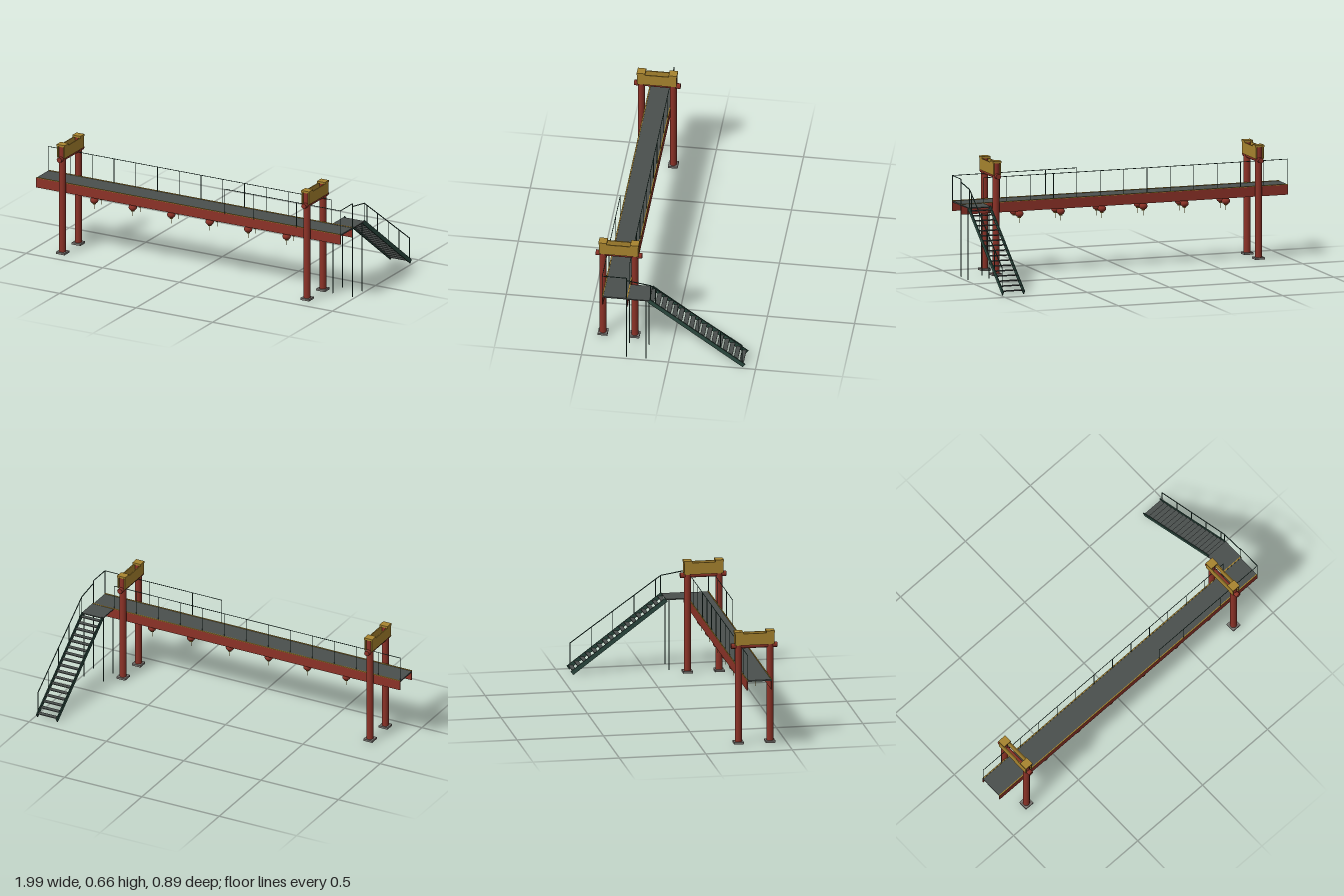
import * as THREE from 'three';

const material = (color) => new THREE.MeshStandardMaterial({ color });
const red = material(0x8c3227);
const gold = material(0xa8842f);
const steel = material(0x4a4f4d);
const green = material(0x2c4a40);
const stone = material(0x77736f);

function add(parent, name, geometry, mat, x = 0, y = 0, z = 0) {
  const mesh = new THREE.Mesh(geometry, mat);
  mesh.name = name;
  mesh.position.set(x, y, z);
  parent.add(mesh);
  return mesh;
}

// Box given by its lower and upper limits on each axis
function block(parent, name, mat, x0, x1, y0, y1, z0, z1) {
  const box = new THREE.BoxGeometry(x1 - x0, y1 - y0, z1 - z0);
  return add(parent, name, box, mat, (x0 + x1) / 2, (y0 + y1) / 2, (z0 + z1) / 2);
}

// Round bar between two points
function rod(parent, name, mat, from, to, radius = 0.0025) {
  const a = new THREE.Vector3(...from);
  const b = new THREE.Vector3(...to);
  const dir = b.clone().sub(a);
  const mesh = add(parent, name, new THREE.CylinderGeometry(radius, radius, dir.length(), 8), mat);
  mesh.position.copy(a).add(b).multiplyScalar(0.5);
  mesh.quaternion.setFromUnitVectors(new THREE.Vector3(0, 1, 0), dir.normalize());
  return mesh;
}

function group(parent, name) {
  const g = new THREE.Group();
  g.name = name;
  parent.add(g);
  return g;
}

// Gateway frame: two columns, a round crossbeam and a gold board on each face
function buildGate(parent, x) {
  const gate = group(parent, 'gate');
  for (const z of [0.405, 0.222]) {
    add(gate, 'column', new THREE.CylinderGeometry(0.02, 0.02, 0.64, 24), red, x, 0.34, z);
    block(gate, 'columnBase', stone, x - 0.028, x + 0.028, 0.012, 0.024, z - 0.028, z + 0.028);
    block(gate, 'columnCap', gold, x - 0.026, x + 0.026, 0.66, 0.672, z - 0.024, z + 0.024);
  }
  rod(gate, 'crossbeam', red, [x, 0.585, 0.18], [x, 0.585, 0.446], 0.016);
  for (const side of [-1, 1]) {
    const px = x + side * 0.021;
    block(gate, 'signBoard', gold, px - 0.003, px + 0.003, 0.592, 0.66, 0.2, 0.426);
  }
}

// Lantern: round body, gold collars, cord and tassel
function buildLantern(parent, x, z) {
  const lantern = group(parent, 'lantern');
  lantern.position.set(x, 0.35, z);
  add(lantern, 'lanternBody', new THREE.SphereGeometry(0.024, 20, 12), red).scale.y = 0.85;
  for (const side of [-1, 1])
    add(lantern, 'collar', new THREE.CylinderGeometry(0.01, 0.01, 0.006, 14), gold, 0, side * 0.021, 0);
  rod(lantern, 'cord', steel, [0, 0.02, 0], [0, 0.076, 0], 0.0008);
  rod(lantern, 'tassel', gold, [0, -0.024, 0], [0, -0.054, 0], 0.0015);
}

// Stair: sloping side plates, treads and a handrail on the outer side
function buildStair(parent) {
  const stair = group(parent, 'stair');
  const top = { y: 0.425, z: 0.115 };
  const bottom = { y: 0.018, z: -0.432 };
  const dy = top.y - bottom.y;
  const dz = top.z - bottom.z;
  for (const x of [0.858, 0.986]) {
    const plate = new THREE.BoxGeometry(0.006, 0.025, Math.hypot(dy, dz));
    const mesh = add(stair, 'stringer', plate, green, x, (top.y + bottom.y) / 2, (top.z + bottom.z) / 2);
    mesh.rotation.x = -Math.atan2(dy, dz);
  }
  const count = 17;
  for (let i = 0; i < count; i++) {
    const t = (i + 0.5) / count;
    const y = bottom.y + dy * t;
    const z = bottom.z + dz * t;
    block(stair, 'tread', steel, 0.858, 0.986, y - 0.002, y + 0.002, z - 0.013, z + 0.013);
  }
  const x = 0.986;
  rod(stair, 'handrail', green, [x, 0.535, 0.105], [x, 0.162, -0.42], 0.003);
  for (let i = 0; i < 5; i++) {
    const z = 0.075 - i * 0.12375;
    const foot = bottom.y + (z - bottom.z) * dy / dz;
    const head = 0.535 + (z - 0.105) * (0.373 / 0.525);
    rod(stair, 'railPost', green, [x, foot, z], [x, head, z]);
  }
}

export function createModel() {
  const model = new THREE.Group();
  model.name = 'footbridge';

  // Walkway with a deep red girder and gold edge on each side
  block(model, 'deck', steel, -1, 0.985, 0.42, 0.428, 0.241, 0.379);
  for (const z of [0.24, 0.38]) {
    block(model, 'girder', red, -1, 0.987, 0.37, 0.427, z - 0.003, z + 0.003);
    block(model, 'edgeTrim', gold, -1, 0.987, 0.427, 0.431, z - 0.003, z + 0.003);
  }

  for (const x of [-0.815, 0.782]) buildGate(model, x);

  for (let i = 0; i < 6; i++)
    for (const z of [0.357, 0.272]) buildLantern(model, -0.635 + i * 0.2512, z);

  // Walkway railings
  const rails = group(model, 'railings');
  const railY = 0.574;
  rod(rails, 'backRail', green, [-1, railY, 0.243], [0.85, railY, 0.243], 0.002);
  for (let i = 0; i <= 13; i++) {
    const x = -0.998 + i * 0.1422;
    rod(rails, 'railPost', green, [x, 0.425, 0.243], [x, railY, 0.243], 0.002);
  }
  rod(rails, 'frontRail', green, [0.23, railY, 0.382], [0.986, railY, 0.382], 0.002);
  for (const x of [0.23, 0.42, 0.7, 0.986])
    rod(rails, 'railPost', green, [x, 0.425, 0.382], [x, railY, 0.382], 0.002);
  rod(rails, 'endRail', green, [0.986, railY, 0.382], [0.986, railY, 0.243]);
  rod(rails, 'landingRail', green, [0.986, 0.557, 0.243], [0.986, 0.535, 0.105], 0.003);
  rod(rails, 'landingPost', green, [0.986, 0.425, 0.243], [0.986, railY, 0.243]);
  rod(rails, 'landingPost', green, [0.986, 0.425, 0.105], [0.986, 0.535, 0.105]);

  // Landing on slim legs, leading to the stair
  block(model, 'landing', steel, 0.853, 0.99, 0.423, 0.429, 0.11, 0.245);
  for (const x of [0.858, 0.986])
    for (const z of [0.13, 0.243])
      rod(model, 'landingLeg', green, [x, 0.012, z], [x, 0.425, z], 0.003);

  buildStair(model);
  return model;
}
